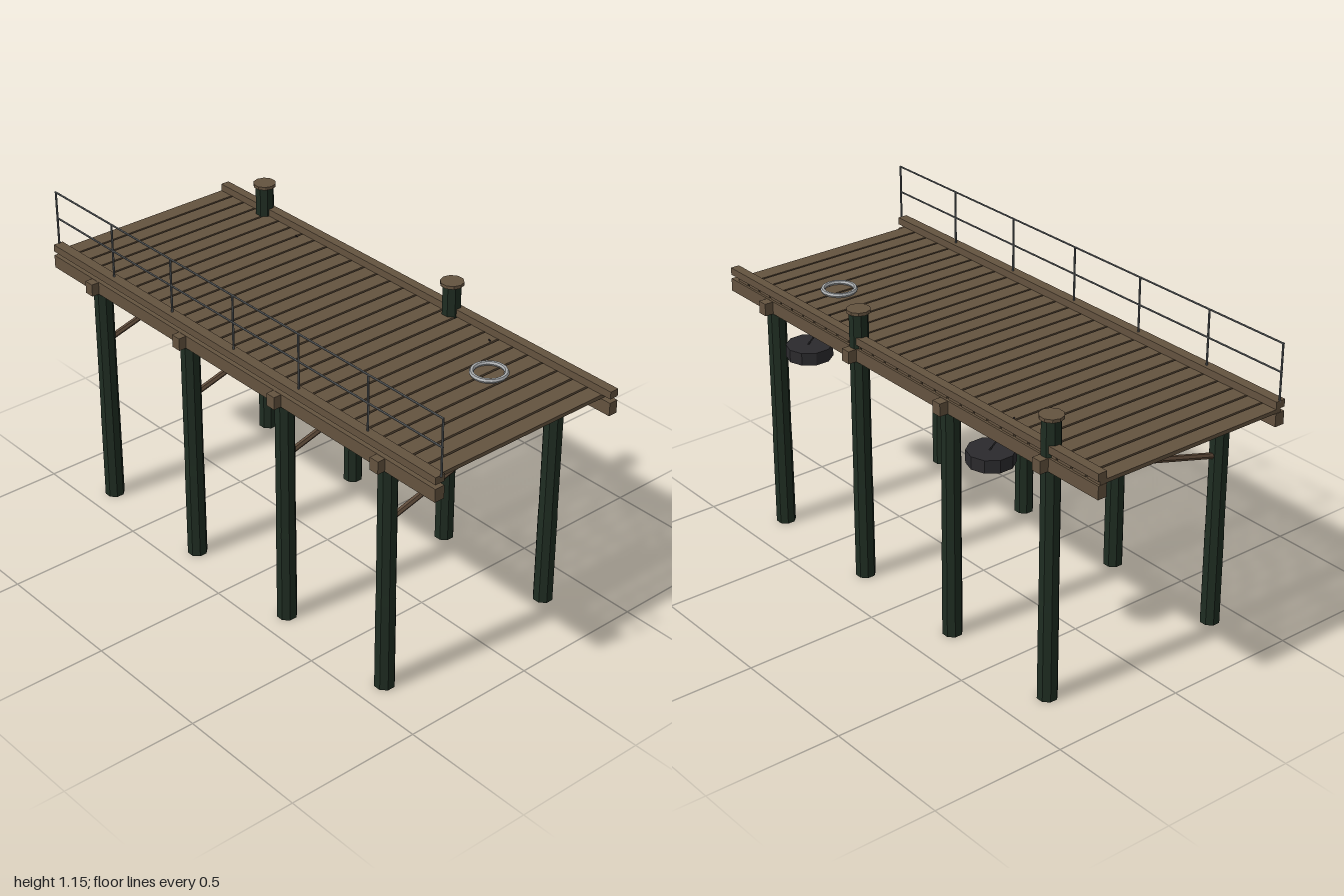
import * as THREE from 'three';

const paint = (name, hex) => {
  const m = new THREE.MeshStandardMaterial({ color: hex, flatShading: true });
  m.name = name;
  return m;
};

export function createModel() {
  const wood = paint('weathered wood', 0x64533f);
  const brace = paint('brace wood', 0x5e4a39);
  const tarred = paint('tarred green timber', 0x1f2d22);
  const rubber = paint('black rubber', 0x2b2a2d);
  const steel = paint('rail steel', 0x5d6163);
  const pale = paint('pale ring', 0xa8abad);

  const model = new THREE.Group();
  model.name = 'pier';

  const add = (name, geo, mat, x = 0, y = 0, z = 0) => {
    const mesh = new THREE.Mesh(geo, mat);
    mesh.name = name;
    mesh.position.set(x, y, z);
    model.add(mesh);
    return mesh;
  };
  // Box given by its limits on each axis
  const box = (name, mat, x0, x1, y0, y1, z0, z1) =>
    add(name, new THREE.BoxGeometry(x1 - x0, y1 - y0, z1 - z0), mat,
      (x0 + x1) / 2, (y0 + y1) / 2, (z0 + z1) / 2);
  // Round bar between two points
  const bar = (name, mat, a, b, r, sides) => {
    const p = new THREE.Vector3(...a), q = new THREE.Vector3(...b);
    const d = q.clone().sub(p);
    const mesh = add(name, new THREE.CylinderGeometry(r, r, d.length(), sides), mat);
    mesh.position.copy(p).add(q).multiplyScalar(0.5);
    mesh.quaternion.setFromUnitVectors(new THREE.Vector3(0, 1, 0), d.normalize());
    return mesh;
  };

  // Piling with a slightly thicker foot
  const piling = (x, z, top) => {
    const profile = [[0, 0], [0.036, 0], [0.0355, 0.34], [0.0345, 0.38], [0.0345, top], [0, top]]
      .map(([r, y]) => new THREE.Vector2(r, y));
    add('piling', new THREE.LatheGeometry(profile, 8, Math.PI / 8), tarred, x, 0, z);
  };

  [-0.75, -0.25, 0.25, 0.75].forEach((z, i) => {
    const tall = i % 2 === 0;
    piling(-0.397, z, 0.9);
    piling(0.34, z, tall ? 1.03 : 0.9);
    if (tall) {
      add('pilingCap', new THREE.CylinderGeometry(0.042, 0.042, 0.012, 10), wood, 0.34, 1.034, z);
    }
    // Cross beam and diagonal brace under the deck
    box('crossBeam', wood, -0.457, 0.4, 0.856, 0.902, z - 0.019, z + 0.019);
    bar('diagonalBrace', brace, [-0.395, 0.648, z], [0.335, 0.85, z], 0.011, 6);
  });

  // Long beams below the deck edges, and kerbs above them
  for (const [x0, x1] of [[-0.428, -0.39], [0.333, 0.367]]) {
    box('edgeBeam', wood, x0, x1, 0.855, 0.903, -1, 0.995);
    box('kerb', wood, x0, x1, 0.918, 0.945, -1, 0.995);
  }

  // Deck planks
  const count = 29, pitch = 1.965 / count, gap = 0.008;
  for (let i = 0; i < count; i++) {
    const z = -1 + i * pitch;
    box('deckPlank', wood, -0.41, 0.36, 0.904, 0.918, z, z + pitch - gap);
  }

  // Handrail along one side
  const railX = -0.406;
  for (let i = 0; i <= 6; i++) {
    const z = -0.997 + (i * 1.994) / 6;
    bar('railPost', steel, [railX, 0.94, z], [railX, 1.147, z], 0.0038, 6);
  }
  for (const y of [1.045, 1.146]) {
    bar('handrail', steel, [railX, y, -1], [railX, y, 1], 0.0036, 6);
  }

  // Fenders hung on short ropes
  for (const z of [-0.5, 0.5]) {
    const fender = add('fender', new THREE.CylinderGeometry(0.082, 0.082, 0.046, 10), rubber, 0.375, 0.803, z);
    fender.rotation.y = Math.PI / 2;
    bar('fenderRope', rubber, [0.3, 0.924, z - 0.025], [0.385, 0.82, z], 0.003, 5);
  }

  // Ring lying on the deck
  const ring = add('ring', new THREE.TorusGeometry(0.058, 0.0085, 6, 20), pale, 0.15, 0.927, 0.63);
  ring.rotation.x = Math.PI / 2;

  return model;
}
